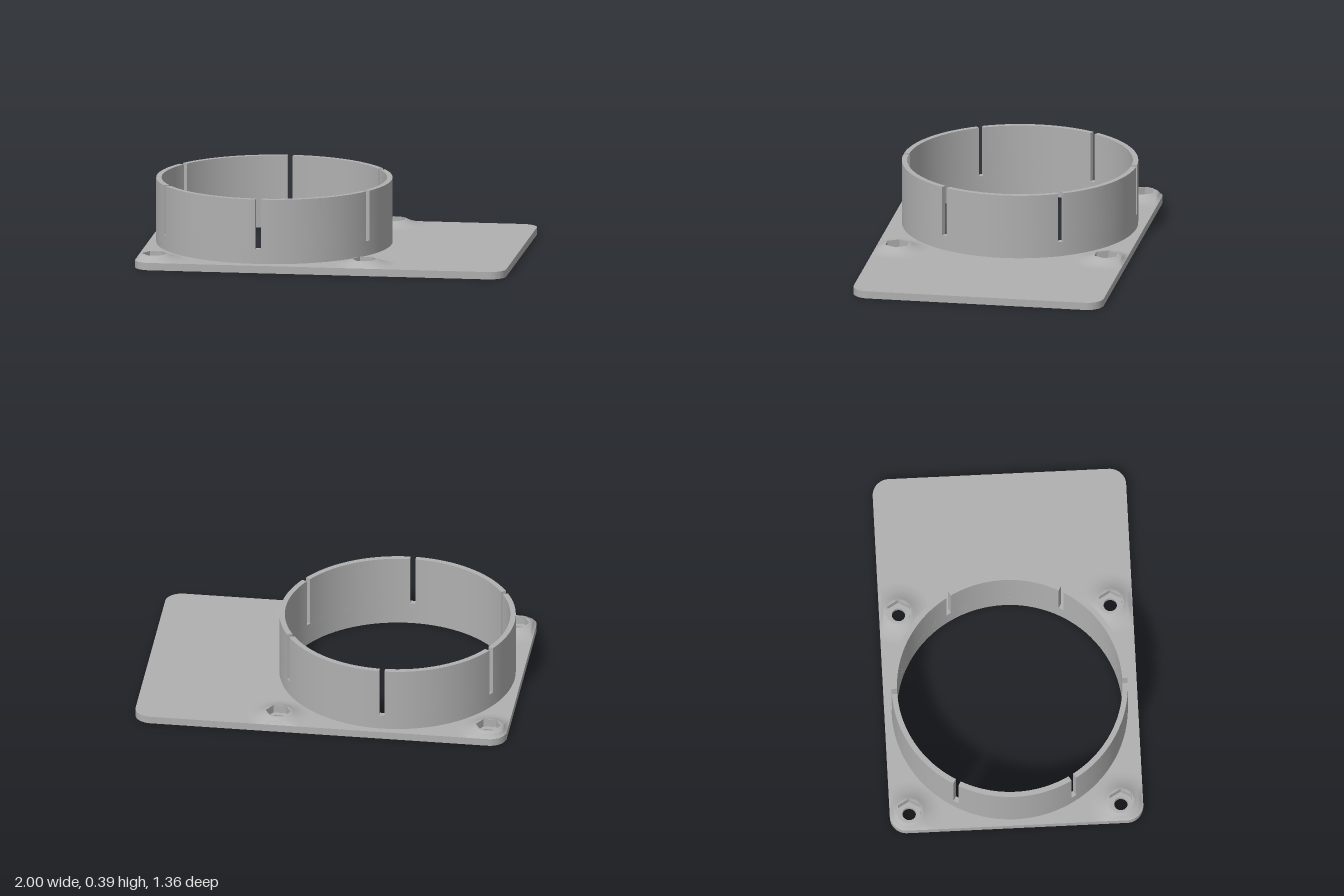
import * as THREE from 'three';
import { toCreasedNormals } from 'three/addons/utils/BufferGeometryUtils.js';

const CX = -0.333, CZ = -0.01;          // collar centre
const R_OUT = 0.631, R_IN = 0.602;      // collar radii
const BOLT = 0.566;                     // bolt offset from the collar centre
const PLATE_Z = -0.0025, HALF_Z = 0.6775, CORNER = 0.09;
const PLATE_TOP = 0.04, FLOOR = 0.025, BOSS_TOP = 0.07;
const HEX_R = 0.068, HOLE_R = 0.036, BOSS_R = 0.18;

const bolts = [];
for (const sx of [-1, 1]) for (const sz of [-1, 1]) bolts.push([CX + sx * BOLT, CZ + sz * BOLT]);

// Extrude a shape drawn in x,z between two heights
function slab(shape, bottom, top, curveSegments = 24) {
  const g = new THREE.ExtrudeGeometry(shape, { depth: top - bottom, bevelEnabled: false, curveSegments });
  g.rotateX(Math.PI / 2).translate(0, top, 0);
  return toCreasedNormals(g, 0.5);
}

function circlePath(x, z, r) {
  const p = new THREE.Path();
  p.absarc(x, z, r, 0, Math.PI * 2, true);
  return p;
}

function hexPath(x, z) {
  const pts = [];
  for (let i = 0; i < 6; i++) {
    const a = -i * Math.PI / 3;
    pts.push(new THREE.Vector2(x + HEX_R * Math.cos(a), z + HEX_R * Math.sin(a)));
  }
  return new THREE.Path(pts);
}

// Rounded plate outline with the large opening
function plateShape() {
  const s = new THREE.Shape(), x = 1 - CORNER, z = HALF_Z - CORNER, q = Math.PI / 2;
  s.absarc(x, PLATE_Z + z, CORNER, 0, q);
  s.absarc(-x, PLATE_Z + z, CORNER, q, 2 * q);
  s.absarc(-x, PLATE_Z - z, CORNER, 2 * q, 3 * q);
  s.absarc(x, PLATE_Z - z, CORNER, 3 * q, 4 * q);
  s.closePath();
  const opening = new THREE.Path();
  opening.absarc(CX, CZ, R_IN, 0, Math.PI * 2, true);
  s.holes.push(opening);
  return s;
}

function insidePlate(x, z) {
  const dx = Math.max(Math.abs(x) - (1 - CORNER), 0);
  const dz = Math.max(Math.abs(z - PLATE_Z) - (HALF_Z - CORNER), 0);
  return Math.hypot(dx, dz) <= CORNER;
}

// Flared boss around a hexagonal pocket, trimmed to the plate edge
function bossGeometry(bx, bz) {
  const N = 72, M = 14, pos = [], idx = [];
  for (let i = 0; i <= N; i++) {
    const a = i / N * Math.PI * 2, c = Math.cos(a), s = Math.sin(a);
    const hex = HEX_R * Math.cos(Math.PI / 6) / Math.cos((a % (Math.PI / 3)) - Math.PI / 6);
    let end = BOSS_R;
    while (!insidePlate(bx + end * c, bz + end * s)) end -= 0.0005;
    pos.push(bx + hex * c, FLOOR, bz + hex * s);
    for (let j = 0; j <= M; j++) {
      const r = hex + (end - hex) * j / M;
      const t = THREE.MathUtils.clamp((r - 0.07) / (BOSS_R - 0.07), 0, 1);
      const rise = (BOSS_TOP - PLATE_TOP) * Math.pow(1 - t, 2.2) * Math.min(1, (end - r) / 0.02);
      pos.push(bx + r * c, PLATE_TOP + rise, bz + r * s);
    }
  }
  const W = M + 2;
  for (let i = 0; i < N; i++) for (let j = 0; j < W - 1; j++) {
    const p = i * W + j, n = p + W;
    idx.push(p, n, p + 1, n, n + 1, p + 1);
  }
  const g = new THREE.BufferGeometry();
  g.setAttribute('position', new THREE.Float32BufferAttribute(pos, 3));
  g.setIndex(idx);
  return toCreasedNormals(g, 0.5);
}

export function createModel() {
  const model = new THREE.Group();
  const grey = new THREE.MeshStandardMaterial({ color: 0xb0b0b0 });
  grey.name = 'plain grey';
  const add = (name, geometry) => {
    const m = new THREE.Mesh(geometry, grey);
    m.name = name;
    model.add(m);
  };

  // Plate: round holes below, hexagonal pockets above
  const lower = plateShape(), upper = plateShape();
  for (const [x, z] of bolts) {
    lower.holes.push(circlePath(x, z, HOLE_R));
    upper.holes.push(hexPath(x, z));
  }
  add('plateLower', slab(lower, 0, FLOOR, 48));
  add('plateUpper', slab(upper, FLOOR, PLATE_TOP, 48));

  // Nut bosses
  bolts.forEach(([x, z], i) => add('nutBoss' + (i + 1), bossGeometry(x, z)));

  // Collar base
  const base = new THREE.Shape();
  base.absarc(CX, CZ, R_OUT, 0, Math.PI * 2);
  base.holes.push(circlePath(CX, CZ, R_IN));
  add('collarBase', slab(base, PLATE_TOP, 0.12, 48));

  // Six collar fingers separated by narrow slots
  const gap = 0.015 / R_OUT;
  for (let i = 0; i < 6; i++) {
    const a = Math.PI / 6 + i * Math.PI / 3 + gap, b = a + Math.PI / 3 - 2 * gap;
    const s = new THREE.Shape();
    s.absarc(CX, CZ, R_OUT, a, b, false);
    s.absarc(CX, CZ, R_IN, b, a, true);
    s.closePath();
    add('collarFinger' + (i + 1), slab(s, 0.12, 0.39, 20));
  }
  return model;
}
